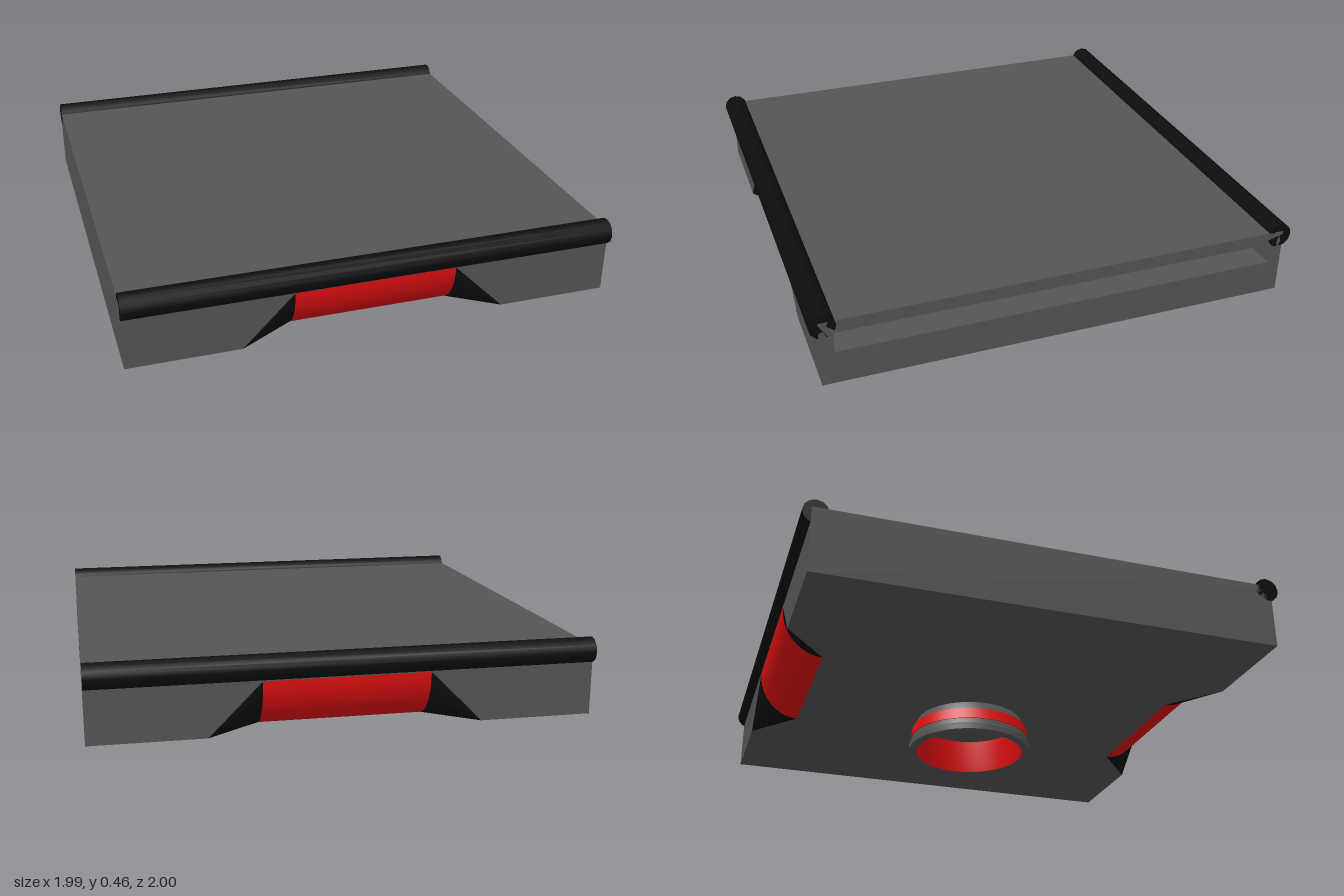
import * as THREE from 'three';
import { toCreasedNormals } from 'three/addons/utils/BufferGeometryUtils.js';
import { RoundedBoxGeometry } from 'three/addons/geometries/RoundedBoxGeometry.js';

const W = 0.995, D = 0.965, Y0 = 0.15, Y1 = 0.43;      // slab half width, half depth, bottom, top
const NX = 0.33, FX = 0.54, NY = 0.36, ND = 0.18;      // edge recess: inner/outer x, top, depth

function material(name, color, side = THREE.FrontSide) {
  const m = new THREE.MeshStandardMaterial({ color, side });
  m.name = name;
  return m;
}

const polygon = (pts) => new THREE.Shape(pts.map(([x, y]) => new THREE.Vector2(x, y)));

// Surface between two rows of points
function strip(rowA, rowB) {
  const n = rowA.length, index = [];
  for (let i = 0; i < n - 1; i++) {
    index.push(i, i + 1, n + i, i + 1, n + i + 1, n + i);
  }
  const g = new THREE.BufferGeometry().setFromPoints([...rowA, ...rowB]);
  g.setIndex(index);
  g.computeVertexNormals();
  return g;
}

// Quarter-round profile of the recess at a given x
function arcRow(x) {
  return Array.from({ length: 17 }, (_, i) => {
    const t = (i / 16) * Math.PI / 2;
    return new THREE.Vector3(x, NY - (NY - Y0) * Math.sin(t), D - ND + ND * Math.cos(t));
  });
}

export function createModel() {
  const grey = material('grey', 0x555555, THREE.DoubleSide);
  const black = material('black', 0x0d0d0d, THREE.DoubleSide);
  const red = material('red', 0xe01010, THREE.DoubleSide);

  const model = new THREE.Group();
  const add = (parent, name, geometry, mat) => {
    const mesh = new THREE.Mesh(geometry, mat);
    mesh.name = name;
    parent.add(mesh);
    return mesh;
  };

  // Slab shell
  const slab = new THREE.Group();
  slab.name = 'slab';
  model.add(slab);
  add(slab, 'topPanel', new THREE.PlaneGeometry(2 * W, 2 * D).rotateX(-Math.PI / 2).translate(0, Y1, 0), grey);
  const bottom = polygon([
    [-W, -D], [-FX, -D], [-NX, ND - D], [NX, ND - D], [FX, -D], [W, -D],
    [W, D], [FX, D], [NX, D - ND], [-NX, D - ND], [-FX, D], [-W, D],
  ]);
  add(slab, 'bottomPanel', new THREE.ShapeGeometry(bottom).rotateX(Math.PI / 2).translate(0, Y0, 0), grey);
  add(slab, 'closedSide', new THREE.PlaneGeometry(2 * D, Y1 - Y0).rotateY(-Math.PI / 2).translate(-W, (Y0 + Y1) / 2, 0), grey);

  // Side with the long slot
  const SZ = 0.91, S0 = 0.29, S1 = 0.377, SL = 1.85;
  const side = polygon([[-D, Y0], [D, Y0], [D, Y1], [-D, Y1]]);
  side.holes.push(polygon([[-SZ, S0], [-SZ, S1], [SZ, S1], [SZ, S0]]));
  add(slab, 'slottedSide', new THREE.ShapeGeometry(side).rotateY(Math.PI / 2).translate(W, 0, 0), grey);
  const tunnel = polygon([[-SZ, S0], [SZ, S0], [SZ, S1], [-SZ, S1]]).getPoints();
  const mouth = [...tunnel, tunnel[0]].map((p) => new THREE.Vector3(W, p.y, p.x));
  const end = mouth.map((p) => new THREE.Vector3(W - SL, p.y, p.z));
  const walls = toCreasedNormals(strip(mouth, end), 0.5);
  add(slab, 'slotWalls', walls, grey);
  add(slab, 'slotBack', new THREE.PlaneGeometry(2 * SZ, S1 - S0).rotateY(Math.PI / 2).translate(W - SL, (S0 + S1) / 2, 0), grey);

  // Front and back edges, with a round red grip, black cheeks and a rail
  const face = polygon([[-W, Y0], [-FX, Y0], [-NX, NY], [NX, NY], [FX, Y0], [W, Y0], [W, Y1], [-W, Y1]]);
  for (const [name, turn] of [['frontEdge', 0], ['backEdge', Math.PI]]) {
    const edge = new THREE.Group();
    edge.name = name;
    edge.rotation.y = turn;
    model.add(edge);
    add(edge, 'edgePanel', new THREE.ShapeGeometry(face).translate(0, 0, D), grey);
    const left = arcRow(NX), right = arcRow(-NX);
    const apex = (x) => left.map(() => new THREE.Vector3(x, Y0, D));
    add(edge, 'grip', strip(right, left), red);
    add(edge, 'leftCheek', strip(left, apex(FX)), black);
    add(edge, 'rightCheek', strip(apex(-FX), right), black);
    const rail = new THREE.CylinderGeometry(0.052, 0.052, 2 * W, 12).rotateZ(Math.PI / 2);
    add(edge, 'rail', rail.translate(0, 0.412, 0.948), black);
  }

  // Ring mount underneath
  const ring = new THREE.Group();
  ring.name = 'ringMount';
  ring.position.x = 0.14;
  model.add(ring);
  const lathe = (pts, start = 0, length = Math.PI * 2) => toCreasedNormals(
    new THREE.LatheGeometry(pts.map(([r, y]) => new THREE.Vector2(r, y)), 64, start, length), 0.5);
  add(ring, 'ringShell', lathe([
    [0.246, 0], [0.276, 0], [0.281, 0.005], [0.281, 0.03], [0.274, 0.036],
    [0.27, 0.06], [0.262, 0.11], [0.243, Y0],
  ]), grey);
  add(ring, 'ringLining', lathe([[0.228, Y0], [0.24, 0.03], [0.246, 0]]), red);
  // Red band wrapping round the right half
  add(ring, 'ringBand', lathe([[0.27, 0.06], [0.274, 0.06], [0.266, 0.11], [0.262, 0.11]], 2.71, 4.0), red);
  // Button on the left
  const button = new THREE.Group();
  button.name = 'button';
  button.position.set(0.262, 0.088, 0);
  button.rotation.z = 0.16;
  ring.add(button);
  add(button, 'buttonFrame', new RoundedBoxGeometry(0.03, 0.055, 0.104, 4, 0.014), grey);
  add(button, 'buttonCap', new RoundedBoxGeometry(0.04, 0.036, 0.084, 4, 0.01), grey);

  return model;
}
